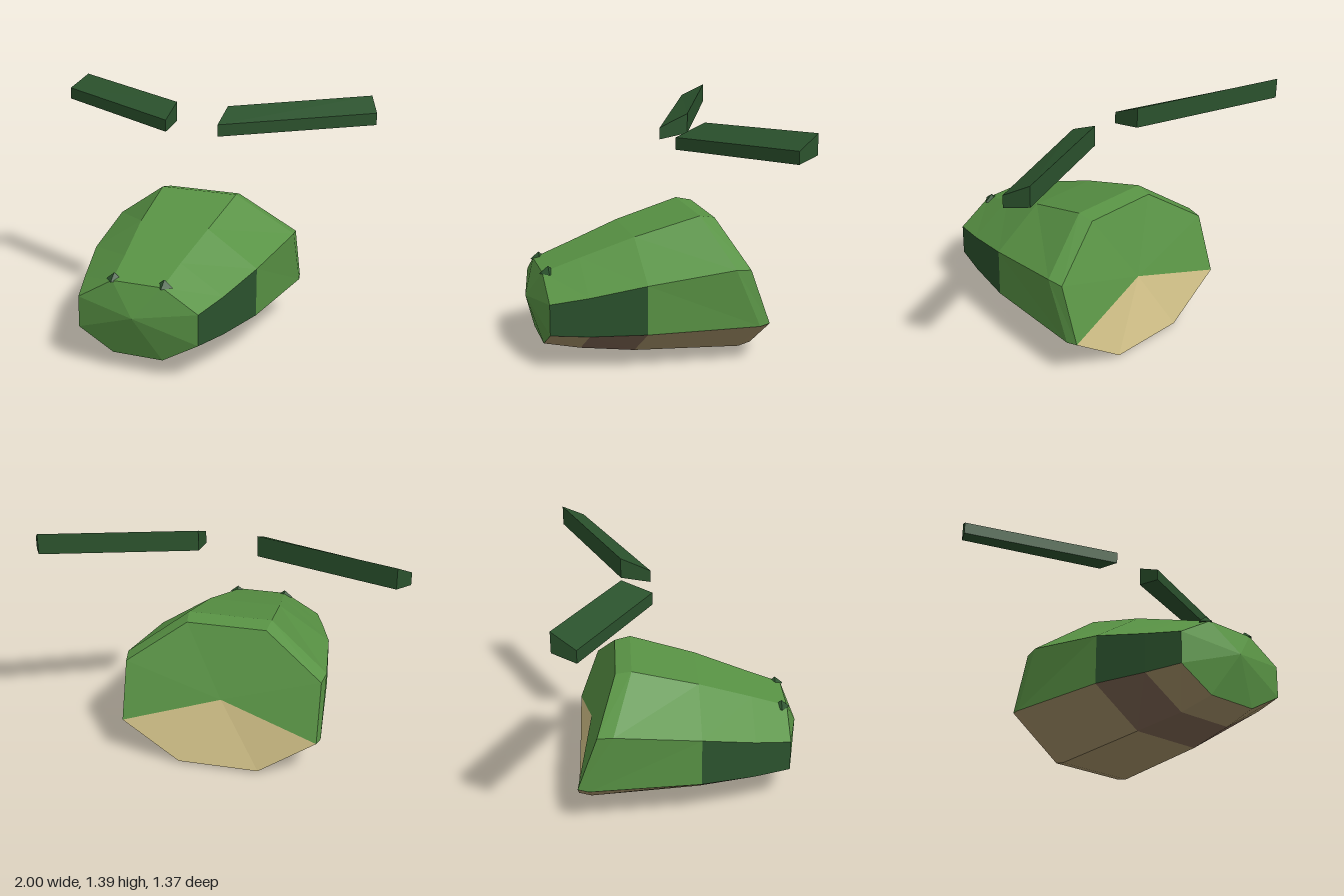
import * as THREE from 'three';

const mat = (name, color) => {
  const m = new THREE.MeshStandardMaterial({ color });
  m.name = name;
  m.flatShading = true;
  return m;
};

// Mesh from a flat list of triangle corners
function facetMesh(name, corners, material) {
  const g = new THREE.BufferGeometry();
  g.setAttribute('position', new THREE.Float32BufferAttribute(corners.flat(), 3));
  g.computeVertexNormals();
  const mesh = new THREE.Mesh(g, material);
  mesh.name = name;
  return mesh;
}

const quad = (a, b, c, d) => [a, b, c, a, c, d];

// Eight-sided hull section from four points of its left half, bottom to top
function section(half) {
  const mirrored = half.map(([x, y, z]) => [-x, y, z]).reverse();
  return [...half, ...mirrored];
}

export function createModel() {
  const green = mat('green', 0x589244);
  const darkGreen = mat('dark green', 0x2b522d);
  const brown = mat('brown', 0xa69269);
  const darkBrown = mat('dark brown', 0x7e6552);
  const tan = mat('tan', 0xd6c58b);

  const model = new THREE.Group();
  model.name = 'model';

  // Hull sections from front to back: bottom, lower side, upper side, top
  const rings = [
    [[0.15, 0.10, 0.61], [0.36, 0.22, 0.61], [0.36, 0.40, 0.61], [0.15, 0.525, 0.61]],
    [[0.17, 0.06, 0.40], [0.425, 0.217, 0.40], [0.425, 0.44, 0.40], [0.17, 0.60, 0.40]],
    [[0.21, 0.03, 0.09], [0.508, 0.228, 0.09], [0.508, 0.51, 0.09], [0.21, 0.71, 0.09]],
    [[0.237, 0.003, -0.54], [0.57, 0.24, -0.545], [0.57, 0.58, -0.40], [0.237, 0.815, -0.29]],
    [[0.23, 0.02, -0.615], [0.555, 0.248, -0.607], [0.555, 0.57, -0.49], [0.225, 0.797, -0.382]],
  ].map(section);

  // Sort hull faces by colour: underside, cheeks, shell and tail
  const shell = [], cheeks = [], belly = [], bellyBand = [], tail = [];
  const isUnder = (i) => i === 0 || i === 6 || i === 7;
  const isSide = (i) => i === 1 || i === 5;
  for (let s = 0; s < rings.length - 1; s++) {
    const a = rings[s], b = rings[s + 1];
    for (let i = 0; i < 8; i++) {
      const j = (i + 1) % 8;
      let target = shell;
      if (isUnder(i)) target = s === 1 ? bellyBand : belly;
      else if (isSide(i) && s < 2) target = cheeks;
      // The split of each quad is mirrored left to right
      target.push(...(i < 4 ? quad(b[i], b[j], a[j], a[i]) : quad(a[i], b[i], b[j], a[j])));
    }
  }

  // Nose and tail fans
  const nose = [0, 0.35, 0.685], rear = [0, 0.41, -0.53];
  const front = rings[0], back = rings[4];
  for (let i = 0; i < 8; i++) {
    const j = (i + 1) % 8;
    shell.push(nose, front[i], front[j]);
    (isUnder(i) ? tail : shell).push(rear, back[j], back[i]);
  }

  const body = new THREE.Group();
  body.name = 'body';
  body.add(
    facetMesh('shell', shell, green),
    facetMesh('cheeks', cheeks, darkGreen),
    facetMesh('belly', belly, brown),
    facetMesh('bellyBand', bellyBand, darkBrown),
    facetMesh('tailUnderside', tail, tan),
  );
  model.add(body);

  // Swept floating blades: four plan corners, each with a top and a bottom
  for (const [side, s] of [['left', 1], ['right', -1]]) {
    const plan = [
      [0.163, -0.165, 1.19, 1.26],
      [1.0, -0.56, 1.25, 1.32],
      [0.937, -0.687, 1.28, 1.395],
      [0.163, -0.335, 1.22, 1.337],
    ];
    if (s < 0) plan.reverse();
    const lo = plan.map(([x, z, y]) => [s * x, y, z]);
    const hi = plan.map(([x, z, , y]) => [s * x, y, z]);
    const faces = [...quad(...hi), ...quad(lo[3], lo[2], lo[1], lo[0])];
    for (let i = 0; i < 4; i++) {
      const j = (i + 1) % 4;
      faces.push(...quad(lo[i], lo[j], hi[j], hi[i]));
    }
    model.add(facetMesh(side + 'Blade', faces, darkGreen));

    // Small four-sided eye, half sunk into the front edge
    const eye = new THREE.Mesh(new THREE.ConeGeometry(0.05, 0.042, 4), darkGreen);
    eye.name = side + 'Eye';
    eye.position.set(s * 0.15, 0.54, 0.577);
    model.add(eye);
  }

  return model;
}
